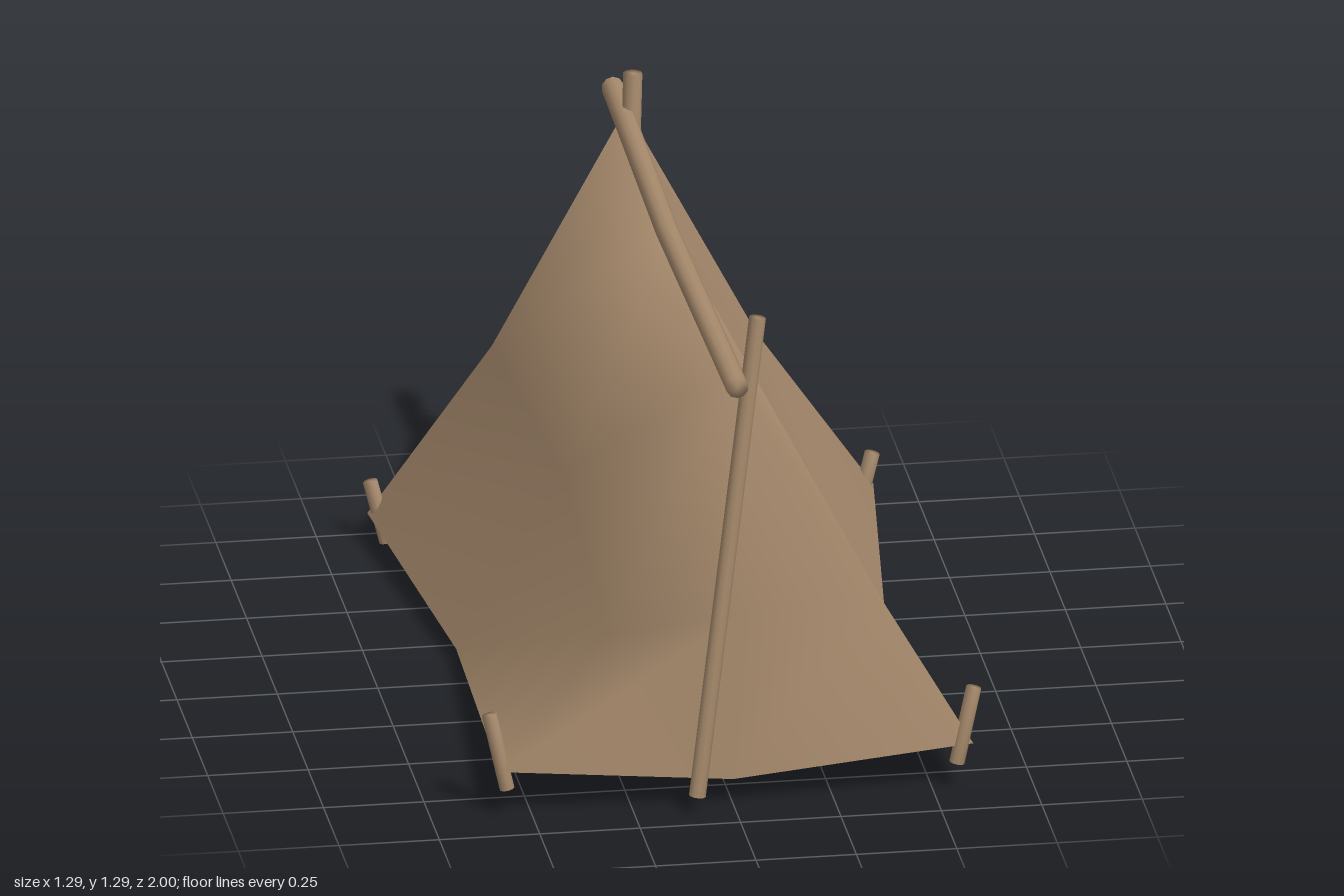
import * as THREE from 'three';
import { mergeVertices } from 'three/addons/utils/BufferGeometryUtils.js';

const canvas = new THREE.MeshStandardMaterial({ color: 0xa88b6d, side: THREE.DoubleSide });
canvas.name = 'tan';

// Weld shared corners so the shading runs smoothly over the whole part
function smooth(geo) {
  geo.deleteAttribute('normal');
  geo.deleteAttribute('uv');
  const g = mergeVertices(geo, 1e-4);
  g.computeVertexNormals();
  return g;
}

// Round stick through a start, an optional bend point and an end
function stick(name, from, to, radius, bend) {
  const a = new THREE.Vector3(...from), b = new THREE.Vector3(...to);
  const dir = b.clone().sub(a), centre = a.clone().add(b).multiplyScalar(0.5);
  const geo = new THREE.CylinderGeometry(radius, radius, dir.length(), 10, 2);
  const turn = new THREE.Quaternion().setFromUnitVectors(new THREE.Vector3(0, 1, 0), dir.normalize());
  const shift = bend ? new THREE.Vector3(...bend).sub(centre) : new THREE.Vector3();
  const pos = geo.attributes.position, v = new THREE.Vector3();
  for (let i = 0; i < pos.count; i++) {
    v.fromBufferAttribute(pos, i);
    const middle = Math.abs(v.y) < 1e-4;
    v.applyQuaternion(turn).add(centre);
    if (middle) v.add(shift);
    pos.setXYZ(i, v.x, v.y, v.z);
  }
  const mesh = new THREE.Mesh(smooth(geo), canvas);
  mesh.name = name;
  return mesh;
}

// Cloth as columns (ridge, middle, hem) running from one back flap round the front to the other
function coverGeometry() {
  const back = [0, 1.15, -0.86], mid = [0, 1.12, -0.13], front = [0, 1.15, 0.87];
  const columns = [
    [back, [0.25, 0.32, -0.9], [0.22, 0.04, -0.955]],
    [back, [0.3, 0.42, -0.91], [0.53, 0.045, -0.972]],
    [back, [0.33, 0.52, -0.885], [0.63, 0.075, -0.955]],
    [mid, [0.27, 0.49, -0.13], [0.535, 0.04, -0.13]],
    [front, [0.37, 0.52, 0.865], [0.6, 0.12, 0.865]],
    [front, [0.02, 0.5, 0.875], [0, 0.07, 0.885]],
    [front, [-0.31, 0.47, 0.87], [-0.58, 0.12, 0.875]],
    [mid, [-0.27, 0.49, -0.13], [-0.535, 0.04, -0.13]],
    [back, [-0.33, 0.53, -0.885], [-0.63, 0.075, -0.955]],
    [back, [-0.27, 0.42, -0.89], [-0.33, 0.045, -0.92]],
    [back, [-0.19, 0.32, -0.9], [-0.2, 0.04, -0.95]],
  ];
  const index = [];
  for (let i = 0; i < columns.length - 1; i++) {
    for (let r = 0; r < 2; r++) {
      const a = i * 3 + r, b = a + 3;
      // Columns that share a ridge point need only one triangle there
      if (r > 0 || columns[i][0] !== columns[i + 1][0]) index.push(a, b, b + 1);
      index.push(a, b + 1, a + 1);
    }
  }
  const geo = new THREE.BufferGeometry();
  geo.setAttribute('position', new THREE.Float32BufferAttribute(columns.flat(2), 3));
  geo.setIndex(index);
  return smooth(geo);
}

export function createModel() {
  const tent = new THREE.Group();
  tent.name = 'tent';

  const cover = new THREE.Mesh(coverGeometry(), canvas);
  cover.name = 'cover';
  tent.add(cover);

  // Poles
  tent.add(
    stick('ridgePole', [-0.008, 1.157, 1], [-0.012, 1.15, -1], 0.028, [-0.01, 1.118, -0.13]),
    stick('frontPole', [-0.095, 0.045, 0.918], [0.062, 1.287, 0.87], 0.021),
    stick('backPole', [-0.01, 0.03, -0.815], [0.012, 1.255, -0.83], 0.024, [-0.01, 0.65, -0.79]),
  );

  // Corner pegs leaning outward
  for (const side of [1, -1]) {
    const label = side > 0 ? 'Left' : 'Right';
    tent.add(
      stick('frontPeg' + label, [side * 0.56, 0.07, 0.86], [side * 0.603, 0.265, 0.853], 0.019),
      stick('backPeg' + label, [side * 0.585, 0.006, -0.935], [side * 0.625, 0.165, -0.94], 0.019),
    );
  }
  return tent;
}
